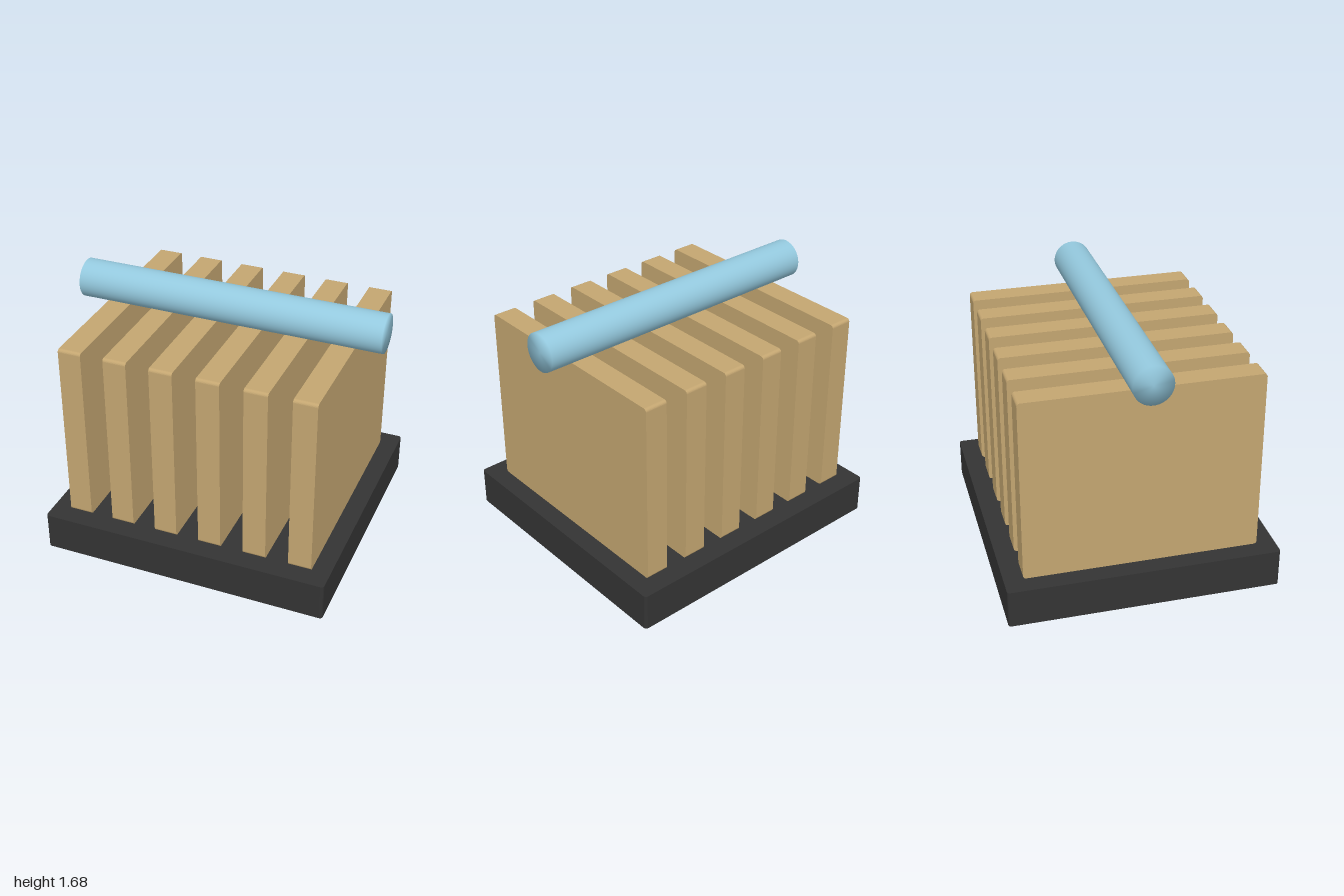
import * as THREE from 'three';
import { mergeVertices } from 'three/addons/utils/BufferGeometryUtils.js';

const material = (name, color) => {
  const m = new THREE.MeshStandardMaterial({ color });
  m.name = name;
  return m;
};

// Centred rectangle with rounded corners, extruded along z and centred
function roundedSlab(width, height, depth, r) {
  const x = width / 2, y = height / 2;
  const s = new THREE.Shape();
  s.moveTo(-x + r, -y);
  s.lineTo(x - r, -y);
  s.absarc(x - r, -y + r, r, -Math.PI / 2, 0);
  s.lineTo(x, y - r);
  s.absarc(x - r, y - r, r, 0, Math.PI / 2);
  s.lineTo(-x + r, y);
  s.absarc(-x + r, y - r, r, Math.PI / 2, Math.PI);
  s.lineTo(-x, -y + r);
  s.absarc(-x + r, -y + r, r, Math.PI, Math.PI * 1.5);
  const geometry = new THREE.ExtrudeGeometry(s, { depth, bevelEnabled: false, curveSegments: 4 });
  return geometry.translate(0, 0, -depth / 2);
}

export function createModel() {
  const model = new THREE.Group();
  model.name = 'slattedRack';

  const charcoal = material('charcoal', 0x343434);
  const tan = material('tan', 0xc4a671);
  const paleBlue = material('paleBlue', 0x94c9de);

  const add = (name, geometry, mat, x, y, z) => {
    const mesh = new THREE.Mesh(geometry, mat);
    mesh.name = name;
    mesh.position.set(x, y, z);
    model.add(mesh);
  };

  // Flat base with slightly rounded vertical corners
  const base = roundedSlab(1.89, 1.74, 0.248, 0.02).rotateX(-Math.PI / 2);
  add('base', base, charcoal, 0, 0.124, 0);

  // Six upright panels, evenly spaced
  const panel = roundedSlab(1.5, 1.2, 0.15, 0.02).rotateY(Math.PI / 2);
  for (let i = 0; i < 6; i++) add(`panel${i + 1}`, panel, tan, -0.75 + i * 0.3, 0.85, 0);

  // Rod across the panels, shaded smoothly over its flat ends
  let rod = new THREE.CylinderGeometry(0.124, 0.124, 2, 48).rotateZ(Math.PI / 2);
  rod.deleteAttribute('normal');
  rod.deleteAttribute('uv');
  rod = mergeVertices(rod);
  rod.computeVertexNormals();
  add('rod', rod, paleBlue, 0, 1.553, 0);

  return model;
}
